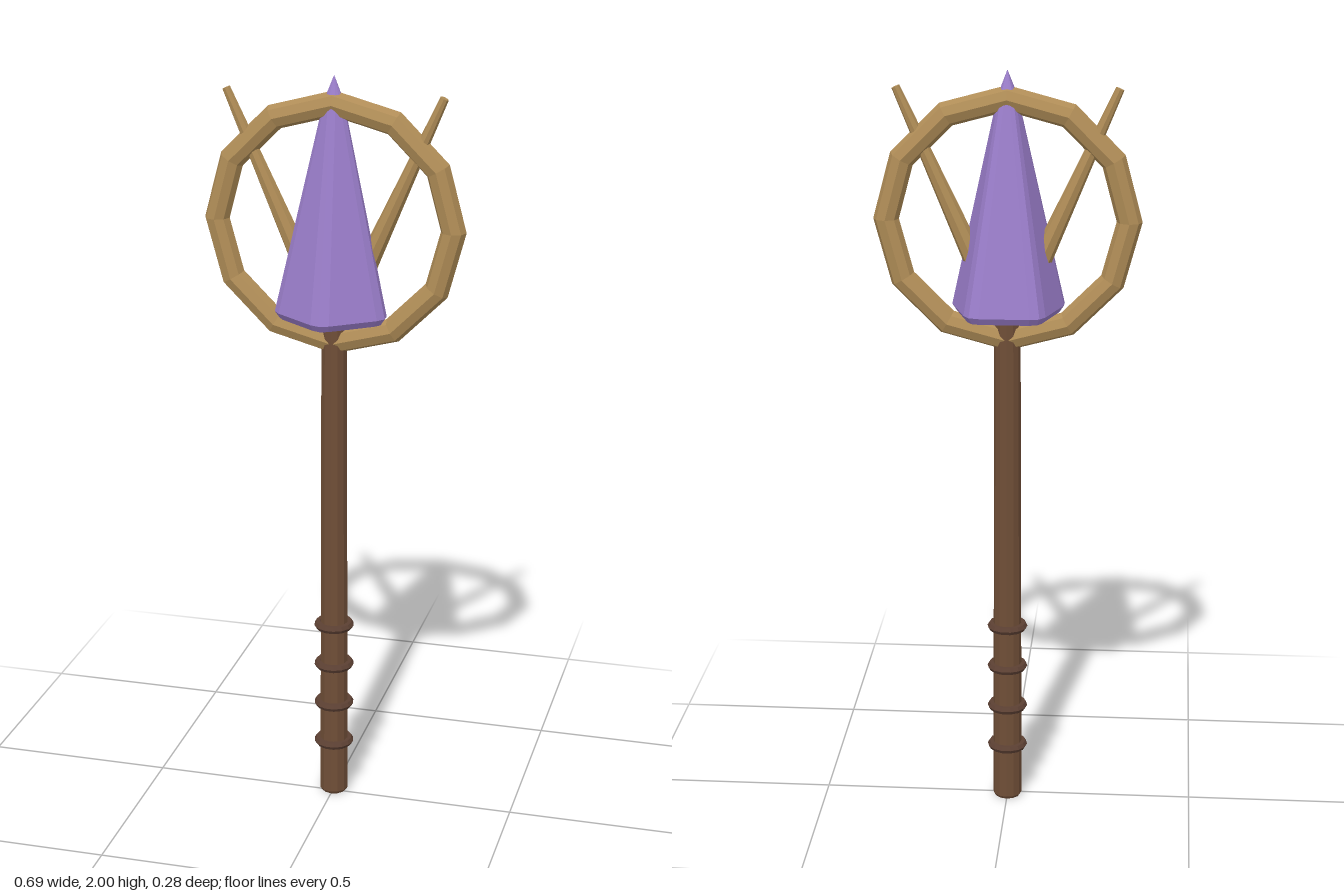
import * as THREE from 'three';

const Z = -0.012; // common axis depth of all parts

function mat(name, color) {
  const m = new THREE.MeshStandardMaterial({ color, flatShading: true });
  m.name = name;
  return m;
}

// Pentagon section with softened corners, one corner facing +z
function section(radius, y, bevel) {
  const corner = (k) => {
    const a = (k * Math.PI * 2) / 5;
    return new THREE.Vector3(Math.sin(a) * radius, y, Math.cos(a) * radius);
  };
  const points = [];
  for (let k = 0; k < 5; k++) {
    const c = corner(k);
    const before = corner(k - 1).sub(c).setLength(bevel).add(c);
    const after = corner(k + 1).sub(c).setLength(bevel).add(c);
    const middle = before.clone().add(after).multiplyScalar(0.25).addScaledVector(c, 0.5);
    points.push(before, middle, after);
  }
  return points;
}

// Joins the sections from bottom to top and closes both ends
function crystalGeometry(sections, bottomY, topY) {
  const n = sections[0].length;
  const position = [];
  const tri = (...pts) => pts.forEach((p) => position.push(p.x, p.y, p.z));
  const bottom = new THREE.Vector3(0, bottomY, 0);
  const top = new THREE.Vector3(0, topY, 0);
  for (let i = 0; i < n; i++) {
    const j = (i + 1) % n;
    tri(bottom, sections[0][j], sections[0][i]);
    for (let s = 0; s < sections.length - 1; s++) {
      const lo = sections[s], hi = sections[s + 1];
      tri(lo[i], lo[j], hi[j]);
      tri(lo[i], hi[j], hi[i]);
    }
    const last = sections[sections.length - 1];
    tri(last[i], last[j], top);
  }
  const g = new THREE.BufferGeometry();
  g.setAttribute('position', new THREE.Float32BufferAttribute(position, 3));
  g.computeVertexNormals();
  return g;
}

export function createModel() {
  const group = new THREE.Group();
  const wood = mat('wood', 0x6f4e37);
  const darkLeather = mat('dark leather', 0x5c4033);
  const bronze = mat('bronze', 0xb08d57);
  const purple = mat('purple crystal', 0x9b7ecb);

  const add = (name, geometry, material, x = 0, y = 0) => {
    const mesh = new THREE.Mesh(geometry, material);
    mesh.name = name;
    mesh.position.set(x, y, Z);
    group.add(mesh);
    return mesh;
  };

  // Tapered shaft with a small bevel at the foot
  const profile = [[0, 0], [0.034, 0], [0.039, 0.008], [0.034, 1.39], [0, 1.39]];
  add('shaft', new THREE.LatheGeometry(profile.map(([r, y]) => new THREE.Vector2(r, y)), 12), wood);

  // Grip bands
  for (let i = 0; i < 4; i++) {
    const band = add('gripBand', new THREE.TorusGeometry(0.043, 0.011, 6, 14), darkLeather, 0, 0.153 + i * 0.1165);
    band.rotation.x = Math.PI / 2;
  }

  // Twelve-sided ring around the head
  add('headRing', new THREE.TorusGeometry(0.311, 0.033, 8, 12), bronze, 0, 1.617);

  // Tapered prongs leaning outwards
  for (const side of [-1, 1]) {
    const from = new THREE.Vector3(side * 0.08, 1.5, 0);
    const to = new THREE.Vector3(side * 0.282, 1.955, 0);
    const dir = to.clone().sub(from);
    const mid = from.clone().add(to).multiplyScalar(0.5);
    const prong = add('prong', new THREE.CylinderGeometry(0.011, 0.028, dir.length(), 8), bronze, mid.x, mid.y);
    prong.quaternion.setFromUnitVectors(new THREE.Vector3(0, 1, 0), dir.normalize());
  }

  // Five-sided crystal with a short pointed tip
  const sections = [
    section(0.148, 1.372, 0.025),
    section(0.162, 1.39, 0.03),
    section(0.03, 1.935, 0.012),
  ];
  add('crystal', crystalGeometry(sections, 1.372, 2), purple);

  return group;
}
